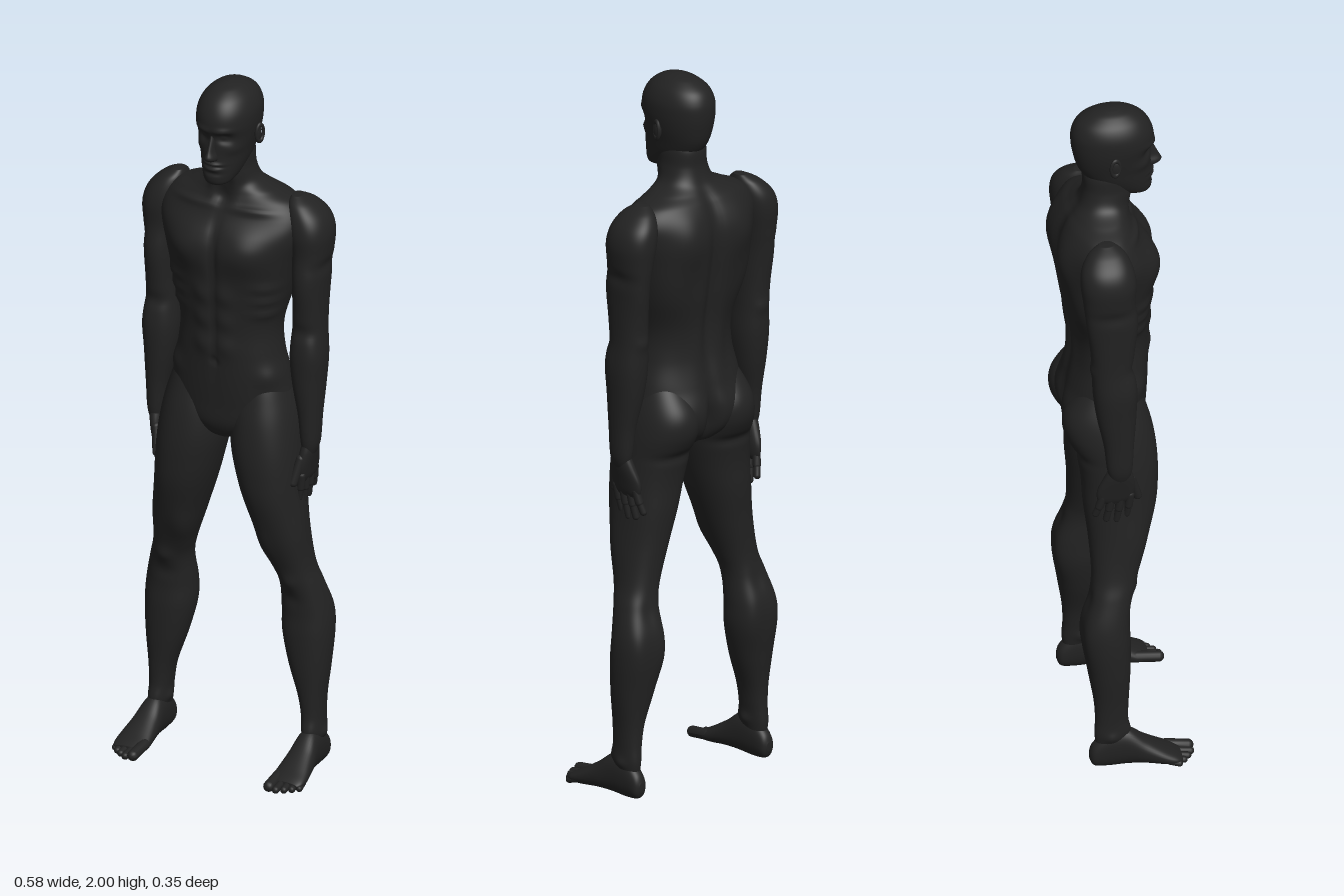
import * as THREE from 'three';

const skin = new THREE.MeshStandardMaterial({ color: 0x222222 });
skin.name = 'charcoal skin';

// Catmull-Rom interpolation of every column of a section table
function sampleRows(rows, u) {
  const n = rows.length - 1, f = u * n, i = Math.min(n - 1, Math.floor(f)), t = f - i;
  const at = k => rows[Math.max(0, Math.min(n, k))];
  return rows[0].map((_, c) => {
    const a = at(i - 1)[c], b = at(i)[c], d = at(i + 1)[c], e = at(i + 2)[c];
    return b + 0.5 * t * (d - a + t * (2 * a - 5 * b + 4 * d - e + t * (3 * (b - d) + e - a)));
  });
}

// Loft of superellipse sections [t, aMin, aMax, bMin, bMax]; t runs along y, or along z for feet
function loft(rows, { seg = 48, steps = 90, power = 2.2, alongZ = false } = {}) {
  const pos = [], idx = [];
  const put = (t, a, b) => alongZ ? pos.push(a, b, t) : pos.push(a, t, b);
  const tri = (a, b, c) => alongZ ? idx.push(a, b, c) : idx.push(a, c, b);
  const bend = v => Math.sign(v) * Math.pow(Math.abs(v), 2 / power);
  for (let j = 0; j <= steps; j++) {
    const [t, a0, a1, b0, b1] = sampleRows(rows, j / steps);
    for (let i = 0; i < seg; i++) {
      const w = i / seg * Math.PI * 2;
      put(t, (a0 + a1) / 2 + (a1 - a0) / 2 * bend(Math.cos(w)), (b0 + b1) / 2 + (b1 - b0) / 2 * bend(Math.sin(w)));
    }
  }
  for (const r of [rows[0], rows[rows.length - 1]]) put(r[0], (r[1] + r[2]) / 2, (r[3] + r[4]) / 2);
  const low = (steps + 1) * seg, last = steps * seg;
  for (let i = 0; i < seg; i++) {
    const k = (i + 1) % seg;
    for (let j = 0; j < steps; j++) {
      const p = j * seg;
      tri(p + i, p + k, p + seg + k);
      tri(p + i, p + seg + k, p + seg + i);
    }
    tri(low, k, i);
    tri(low + 1, last + i, last + k);
  }
  const g = new THREE.BufferGeometry();
  g.setAttribute('position', new THREE.Float32BufferAttribute(pos, 3));
  g.setIndex(idx);
  g.computeVertexNormals();
  return g;
}

// Muscles and hollows: push the surface along its normal; [x, y, z, rx, ry, rz, height], same on both sides
function sculpt(g, bumps) {
  const p = g.attributes.position, n = g.attributes.normal;
  for (let i = 0; i < p.count; i++) {
    const x = p.getX(i), y = p.getY(i), z = p.getZ(i);
    let h = 0;
    for (const [bx, by, bz, rx, ry, rz, a] of bumps)
      h += a * Math.exp(-(((Math.abs(x) - bx) / rx) ** 2 + ((y - by) / ry) ** 2 + ((z - bz) / rz) ** 2));
    p.setXYZ(i, x + n.getX(i) * h, y + n.getY(i) * h, z + n.getZ(i) * h);
  }
  g.computeVertexNormals();
  return g;
}

// Copy reflected to the other side, with corner order restored
function mirrored(geo) {
  const g = geo.clone().scale(-1, 1, 1), ix = g.index.array;
  for (let i = 0; i < ix.length; i += 3) [ix[i], ix[i + 1]] = [ix[i + 1], ix[i]];
  g.computeVertexNormals();
  return g;
}

// Rounded finger or toe between two points
function digit(a, b, r) {
  const A = new THREE.Vector3(...a), B = new THREE.Vector3(...b), d = B.clone().sub(A);
  const g = new THREE.CapsuleGeometry(r, d.length(), 6, 14);
  g.applyQuaternion(new THREE.Quaternion().setFromUnitVectors(new THREE.Vector3(0, 1, 0), d.normalize()));
  return g.translate(...A.add(B).multiplyScalar(0.5).toArray());
}

const blob = (x, y, z, rx, ry, rz) => new THREE.SphereGeometry(1, 24, 16).scale(rx, ry, rz).translate(x, y, z);
const symmetric = rows => rows.map(([y, w, b, f]) => [y, -w, w, b, f]);

export function createModel() {
  const model = new THREE.Group();
  model.name = 'standing figure';
  const add = (name, geo) => {
    const m = new THREE.Mesh(geo, skin);
    m.name = name;
    model.add(m);
  };
  const pair = (name, geo) => {
    add('left ' + name, geo);
    add('right ' + name, mirrored(geo));
  };

  // Trunk and neck
  const trunk = loft(symmetric([
    [0.955, 0.02, -0.06, 0.03], [0.97, 0.07, -0.1, 0.055], [1.01, 0.14, -0.135, 0.075], [1.07, 0.175, -0.145, 0.08],
    [1.14, 0.167, -0.135, 0.085], [1.22, 0.15, -0.122, 0.088], [1.3, 0.145, -0.125, 0.088], [1.4, 0.168, -0.145, 0.095],
    [1.5, 0.19, -0.158, 0.103], [1.57, 0.21, -0.16, 0.092], [1.62, 0.21, -0.152, 0.065], [1.66, 0.18, -0.135, 0.042],
    [1.685, 0.125, -0.115, 0.033], [1.71, 0.078, -0.098, 0.034], [1.75, 0.062, -0.087, 0.045], [1.8, 0.058, -0.085, 0.05],
    [1.84, 0.04, -0.06, 0.03]]), { seg: 112, steps: 150 });
  const abs = [1.4, 1.325, 1.25].map(y => [0.033, y, 0.095, 0.026, 0.03, 0.04, 0.008]);
  const ribs = [1.43, 1.39, 1.35].map(y => [0.135, y, 0.05, 0.035, 0.014, 0.05, 0.007]);
  sculpt(trunk, [...abs, ...ribs,
    [0.085, 1.535, 0.095, 0.07, 0.055, 0.05, 0.019], [0, 1.52, 0.1, 0.012, 0.09, 0.05, -0.012],
    [0, 1.3, 0.09, 0.008, 0.15, 0.05, -0.005], [0, 1.2, 0.09, 0.009, 0.011, 0.05, -0.008],
    [0.09, 1.645, 0.05, 0.07, 0.01, 0.04, 0.008], [0, 1.67, 0.04, 0.018, 0.02, 0.03, -0.01],
    [0.035, 1.72, 0.03, 0.014, 0.05, 0.03, 0.006],
    [0, 1.42, -0.15, 0.022, 0.24, 0.06, -0.02], [0.09, 1.57, -0.15, 0.055, 0.075, 0.06, 0.017],
    [0.13, 1.45, -0.11, 0.05, 0.1, 0.06, 0.012], [0.04, 1.25, -0.12, 0.025, 0.1, 0.05, 0.006],
    [0, 1.03, -0.14, 0.018, 0.07, 0.06, -0.03], [0.075, 1.06, -0.14, 0.055, 0.06, 0.05, 0.012],
    [0.14, 1.16, 0.04, 0.03, 0.03, 0.06, 0.007]]);
  add('trunk and neck', trunk);

  // Head with sockets, brow, lips and cheeks
  const head = loft(symmetric([
    [1.725, 0.015, 0.055, 0.085], [1.733, 0.035, 0.02, 0.098], [1.752, 0.048, -0.03, 0.103], [1.785, 0.06, -0.075, 0.102],
    [1.82, 0.068, -0.1, 0.1], [1.86, 0.077, -0.112, 0.1], [1.9, 0.082, -0.118, 0.108], [1.935, 0.08, -0.116, 0.102],
    [1.966, 0.066, -0.1, 0.083], [1.988, 0.042, -0.066, 0.052], [1.997, 0.02, -0.035, 0.022], [2, 0.002, -0.01, 0]]),
  { seg: 96, steps: 110, power: 2.1 });
  sculpt(head, [
    [0.033, 1.868, 0.09, 0.018, 0.013, 0.04, -0.014], [0.033, 1.868, 0.09, 0.011, 0.007, 0.04, 0.007],
    [0.028, 1.892, 0.1, 0.028, 0.009, 0.04, 0.005], [0.05, 1.835, 0.07, 0.018, 0.016, 0.04, 0.004],
    [0, 1.792, 0.1, 0.022, 0.005, 0.03, 0.007], [0, 1.778, 0.1, 0.019, 0.006, 0.03, 0.006],
    [0, 1.785, 0.1, 0.026, 0.003, 0.03, -0.006], [0, 1.764, 0.1, 0.025, 0.006, 0.03, -0.004]]);
  add('head', head);
  add('nose', loft(symmetric([[1.8, 0.004, 0.085, 0.1], [1.806, 0.015, 0.075, 0.119], [1.817, 0.016, 0.075, 0.13],
    [1.835, 0.01, 0.075, 0.122], [1.865, 0.008, 0.075, 0.108], [1.885, 0.004, 0.075, 0.1]]), { seg: 24, steps: 24, power: 2 }));
  pair('ear rim', new THREE.TorusGeometry(0.017, 0.005, 10, 28).scale(0.8, 1.4, 1).rotateY(Math.PI / 2 - 0.3)
    .translate(0.087, 1.858, -0.012));
  pair('ear', blob(0.083, 1.855, -0.01, 0.007, 0.024, 0.015));

  // Arms
  const arm = loft([
    [0.93, 0.218, 0.245, -0.05, -0.005], [0.97, 0.209, 0.257, -0.063, 0.005], [1.05, 0.2, 0.262, -0.072, 0.01],
    [1.14, 0.182, 0.268, -0.09, 0.017], [1.22, 0.173, 0.272, -0.1, 0.018], [1.3, 0.177, 0.267, -0.103, 0.01],
    [1.38, 0.18, 0.268, -0.108, 0.012], [1.46, 0.18, 0.271, -0.115, 0.016], [1.52, 0.175, 0.276, -0.125, 0.014],
    [1.58, 0.165, 0.28, -0.133, 0.018], [1.625, 0.16, 0.266, -0.128, 0.01], [1.66, 0.16, 0.232, -0.106, -0.008],
    [1.68, 0.165, 0.195, -0.075, -0.035]], { seg: 56, steps: 110 });
  pair('arm', sculpt(arm, [
    [0.225, 1.43, 0.01, 0.035, 0.07, 0.04, 0.007], [0.24, 1.45, -0.12, 0.03, 0.07, 0.04, 0.006],
    [0.27, 1.49, -0.05, 0.03, 0.02, 0.06, -0.006], [0.25, 1.24, 0, 0.03, 0.06, 0.03, 0.005],
    [0.225, 1.3, 0.01, 0.04, 0.02, 0.03, -0.006], [0.22, 1.3, -0.105, 0.02, 0.018, 0.03, 0.005]]));

  // Hands
  pair('palm', loft([[0.855, 0.21, 0.228, -0.075, -0.005], [0.87, 0.204, 0.234, -0.088, 0.008], [0.9, 0.203, 0.24, -0.088, 0.016],
    [0.94, 0.208, 0.248, -0.072, 0.01], [0.97, 0.214, 0.25, -0.058, 0]], { seg: 32, steps: 30 }));
  [[0.002, -0.005, 0.805], [-0.023, -0.033, 0.79], [-0.049, -0.061, 0.795], [-0.073, -0.09, 0.815]].forEach(([z0, z1, tip], i) => {
    const mid = [0.216, (0.87 + tip) / 2, (z0 + z1) / 2];
    pair('finger ' + (i + 1), digit([0.221, 0.875, z0], mid, 0.0115));
    pair('fingertip ' + (i + 1), digit(mid, [0.209, tip, z1], 0.0098));
  });
  pair('thumb', digit([0.22, 0.925, 0.005], [0.207, 0.86, 0.024], 0.0125));

  // Legs
  const leg = loft([
    [0.05, 0.215, 0.25, -0.09, -0.03], [0.1, 0.206, 0.261, -0.098, 0], [0.15, 0.201, 0.261, -0.096, -0.006],
    [0.21, 0.19, 0.264, -0.099, -0.004], [0.3, 0.16, 0.274, -0.113, 0.002], [0.39, 0.139, 0.279, -0.126, 0.004],
    [0.46, 0.137, 0.274, -0.125, 0.002], [0.54, 0.138, 0.254, -0.106, 0.012], [0.6, 0.122, 0.236, -0.096, 0.03],
    [0.7, 0.086, 0.222, -0.1, 0.062], [0.8, 0.053, 0.215, -0.11, 0.088], [0.88, 0.031, 0.211, -0.114, 0.095],
    [0.95, 0.016, 0.206, -0.125, 0.094], [1.02, 0.012, 0.198, -0.148, 0.085], [1.08, 0.018, 0.184, -0.146, 0.07],
    [1.14, 0.04, 0.16, -0.11, 0.05], [1.19, 0.07, 0.13, -0.06, 0.02]], { seg: 64, steps: 140 });
  pair('leg', sculpt(leg, [
    [0.09, 1.04, -0.14, 0.06, 0.06, 0.06, 0.01], [0.1, 0.955, -0.13, 0.08, 0.014, 0.05, -0.008],
    [0.125, 0.66, 0.04, 0.03, 0.06, 0.05, 0.008], [0.215, 0.7, 0.02, 0.03, 0.08, 0.05, 0.006],
    [0.19, 0.555, 0.02, 0.024, 0.025, 0.03, 0.009], [0.19, 0.5, 0.005, 0.03, 0.02, 0.03, -0.004],
    [0.165, 0.42, -0.12, 0.026, 0.08, 0.04, 0.007], [0.25, 0.43, -0.11, 0.024, 0.08, 0.04, 0.006],
    [0.2, 0.53, -0.11, 0.025, 0.04, 0.03, -0.006],
    [0.204, 0.11, -0.045, 0.015, 0.014, 0.018, 0.006], [0.262, 0.1, -0.055, 0.015, 0.014, 0.018, 0.006]]));

  // Feet and toes
  pair('foot', loft([
    [-0.112, 0.225, 0.243, 0.025, 0.05], [-0.1, 0.212, 0.256, 0.005, 0.075], [-0.06, 0.206, 0.262, 0, 0.11],
    [-0.01, 0.201, 0.268, 0.002, 0.115], [0.04, 0.195, 0.278, 0.003, 0.08], [0.09, 0.19, 0.287, 0, 0.05],
    [0.12, 0.191, 0.287, 0.002, 0.034], [0.136, 0.197, 0.277, 0.008, 0.024]], { seg: 40, steps: 50, alongZ: true }));
  [[0.207, 0.162, 0.0155], [0.229, 0.165, 0.0105], [0.248, 0.154, 0.01], [0.265, 0.141, 0.0095], [0.28, 0.126, 0.009]]
    .forEach(([x, tip, r], i) => pair('toe ' + (i + 1), digit([x - 0.002, r + 0.008, 0.1], [x, r, tip], r)));

  return model;
}
